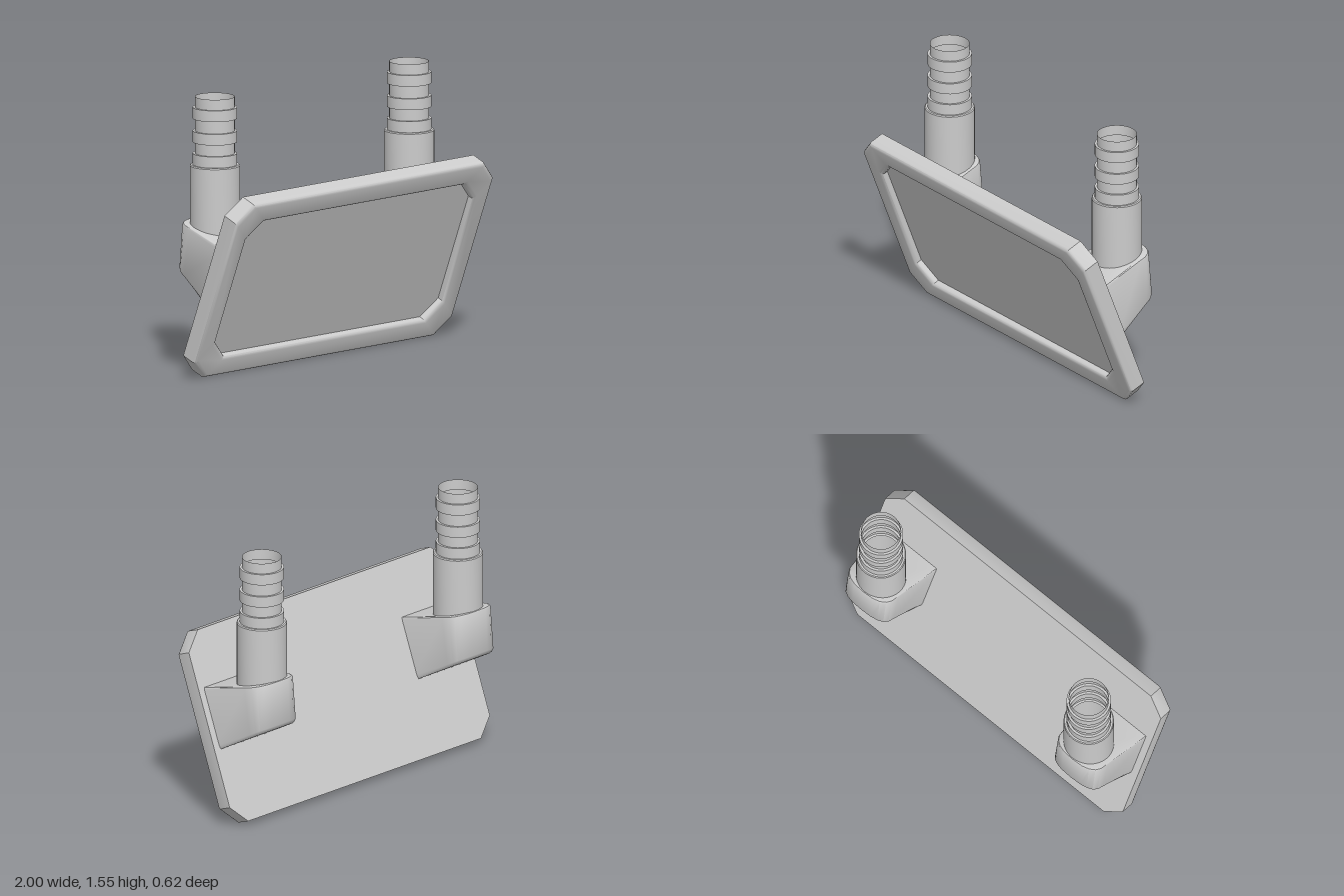
import * as THREE from 'three';
import { toCreasedNormals } from 'three/addons/utils/BufferGeometryUtils.js';

const material = new THREE.MeshStandardMaterial({ color: 0xcccccc });
const openMaterial = new THREE.MeshStandardMaterial({ color: 0xcccccc, side: THREE.DoubleSide });

// Skin a stack of equal-length loops (anticlockwise seen from the last one) and cap both ends.
function loft(loops, crease) {
  const n = loops[0].length;
  const positions = [];
  const tri = (a, b, c) => positions.push(...a, ...b, ...c);
  const centre = (loop) => [0, 1, 2].map((k) => loop.reduce((s, p) => s + p[k], 0) / n);
  const first = loops[0], last = loops[loops.length - 1];
  const c0 = centre(first), c1 = centre(last);
  for (let j = 0; j < n; j++) {
    const k = (j + 1) % n;
    for (let i = 0; i < loops.length - 1; i++) {
      const a = loops[i], b = loops[i + 1];
      tri(a[j], a[k], b[k]);
      tri(a[j], b[k], b[j]);
    }
    tri(c0, first[k], first[j]);
    tri(c1, last[j], last[k]);
  }
  const geometry = new THREE.BufferGeometry();
  geometry.setAttribute('position', new THREE.Float32BufferAttribute(positions, 3));
  return toCreasedNormals(geometry, crease);
}

function addMesh(parent, name, geometry, mat = material) {
  const mesh = new THREE.Mesh(geometry, mat);
  mesh.name = name;
  parent.add(mesh);
  return mesh;
}

// Rectangle with cut corners, shrunk by an inset, at depth z.
function cutCornerLoop(inset, z) {
  const x = 1 - inset, y = 0.55 - inset, c = 0.105;
  return [
    [x, -y + c, z], [x, y - c, z], [x - c, y, z], [-x + c, y, z],
    [-x, y - c, z], [-x, -y + c, z], [-x + c, -y, z], [x - c, -y, z],
  ];
}

// Panel with a rounded raised rim around a sunken front face.
function panelGeometry() {
  const profile = [
    [0, -0.051], [0, 0.031], [0.003, 0.041], [0.01, 0.048], [0.02, 0.051],
    [0.1, 0.051], [0.11, 0.048], [0.117, 0.041], [0.12, 0.031], [0.12, 0.01],
  ];
  return loft(profile.map(([inset, z]) => cutCornerLoop(inset, z)), 0.6);
}

// Bracket: tapered U outline, stacked between a sloping underside and a sloping top.
function bracketGeometry() {
  const outline = [[-0.202, 0], [0.202, 0], [0.16, 0.72]];
  const steps = 10;
  for (let i = 1; i < steps; i++) {
    const a = (i / steps) * Math.PI;
    const round = (v) => Math.sign(v) * Math.abs(v) ** 0.75;
    outline.push([0.16 * round(Math.cos(a)), 0.72 + 0.28 * round(Math.sin(a))]);
  }
  outline.push([-0.16, 0.72]);

  // Front and back [z, y] of the underside and the top.
  const under = [[-0.01, 0.425], [-0.312, 0.595]];
  const top = [[0.12, 0.762], [-0.297, 0.867]];
  const layers = [[0, 0.03], [0.025, 0.012], [0.07, 0], [0.95, 0], [0.985, 0.006], [1, 0.018]];
  const mix = THREE.MathUtils.lerp;
  return loft(layers.map(([t, inset]) => outline.map(([x, d]) => {
    const depth = d * (1 - inset * 2);
    const along = (line, k) => mix(line[0][k], line[1][k], depth);
    return [
      x * (1 - inset * 3 * Math.min(1, d + 0.3)),
      mix(along(under, 1), along(top, 1), t),
      mix(along(under, 0), along(top, 0), t),
    ];
  })), 0.65);
}

// Open spout: wide collar below, three raised bands above.
function spoutGeometry() {
  const collar = 0.139, neck = 0.11, band = 0.123;
  const profile = [[collar, 0.72], [collar, 1.172], [collar - 0.005, 1.178], [band, 1.178]];
  for (const y of [1.178, 1.305, 1.437]) {
    profile.push([neck, y], [band, y], [band, y + 0.063], [neck, y + 0.063]);
  }
  profile.push([neck, 1.56]);
  const points = profile
    .filter((p, i) => i === 0 || p[0] !== profile[i - 1][0] || p[1] !== profile[i - 1][1])
    .map(([r, y]) => new THREE.Vector2(r, y));
  return toCreasedNormals(new THREE.LatheGeometry(points, 40), 0.6);
}

export function createModel() {
  const model = new THREE.Group();
  model.name = 'tiltedPanelWithSpouts';

  // Panel leans its top edge forward
  const panel = addMesh(model, 'panel', panelGeometry());
  panel.rotation.x = 0.374;
  panel.position.set(0, 0.53, 0.0625);

  // Matching bracket and spout on each side
  const bracket = bracketGeometry();
  const spout = spoutGeometry();
  for (const [side, name] of [[1, 'left'], [-1, 'right']]) {
    const mount = new THREE.Group();
    mount.name = name + 'Mount';
    mount.position.x = side * 0.76;
    addMesh(mount, name + 'Bracket', bracket);
    addMesh(mount, name + 'Spout', spout, openMaterial).position.set(side * -0.006, 0, -0.148);
    model.add(mount);
  }
  return model;
}
